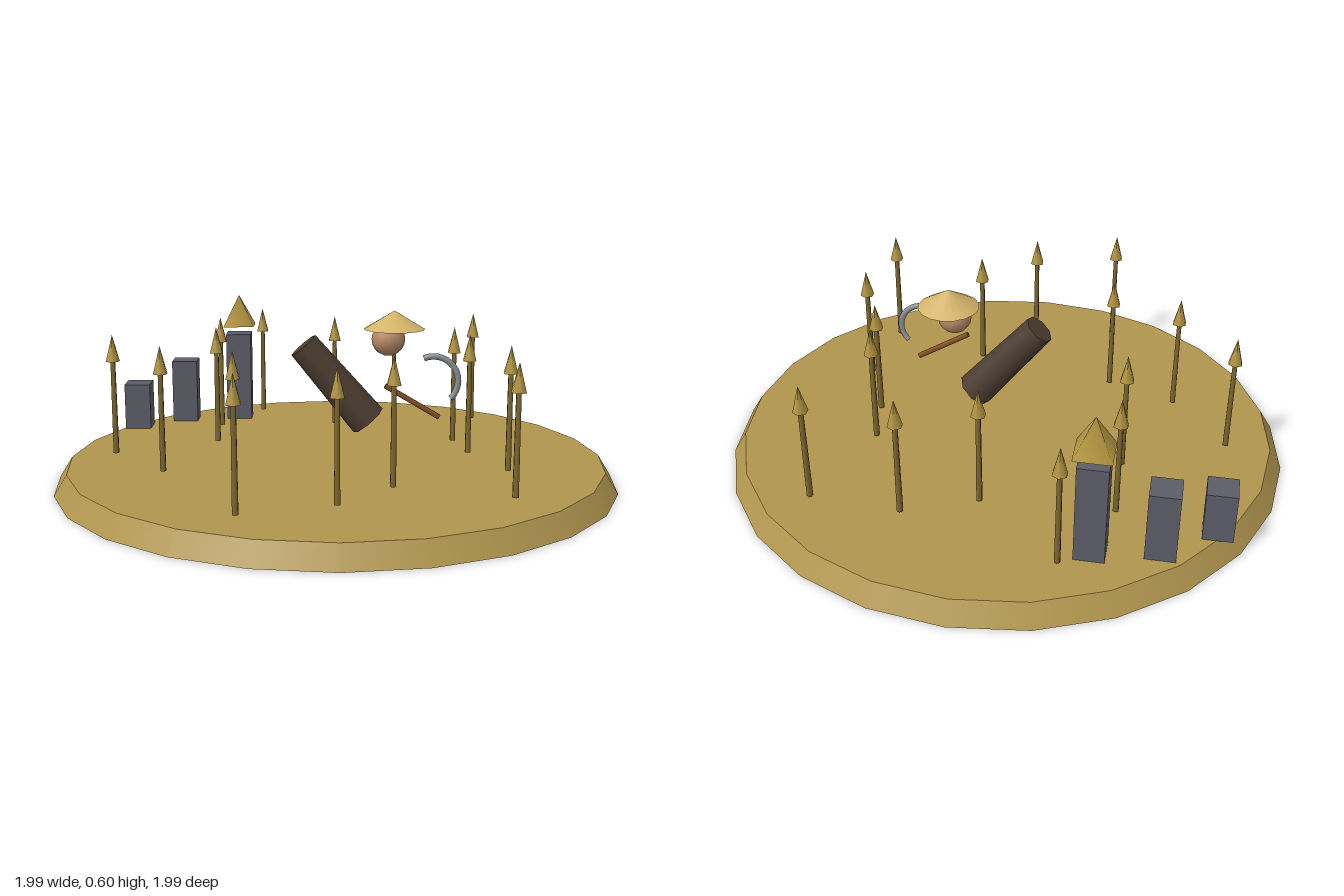
import * as THREE from 'three';

const material = (color) => new THREE.MeshStandardMaterial({ color });
const mats = {
  sand: material(0xb0954e),
  stem: material(0x7d6830),
  tip: material(0xb39540),
  stone: material(0x5c5c68),
  cloth: material(0x4c3d31),
  skin: material(0xb98c66),
  straw: material(0xd4b46a),
  wood: material(0x84501f),
  steel: material(0x8d9299),
};

function add(parent, name, geometry, mat, x = 0, y = 0, z = 0) {
  const mesh = new THREE.Mesh(geometry, mat);
  mesh.name = name;
  mesh.position.set(x, y, z);
  parent.add(mesh);
  return mesh;
}

export function createModel() {
  const model = new THREE.Group();
  model.name = 'fieldScene';
  const turn = THREE.MathUtils.degToRad(36.3);
  const top = 0.072;

  // Round ground plate with a sloping rim
  const ground = add(model, 'ground', new THREE.CylinderGeometry(0.955, 1, top, 24), mats.sand, 0, top / 2, 0);
  ground.rotation.y = turn;

  // Reeds: thin stem with a pointed head
  const reedSpots = [
    [0.12, -0.79], [-0.15, -0.62], [-0.68, -0.42], [-0.285, -0.39],
    [0.25, -0.41], [0.385, -0.285], [0.617, -0.15], [-0.633, -0.1],
    [-0.47, 0.11], [0.783, 0.123], [0.406, 0.248], [-0.647, 0.465],
    [-0.337, 0.543], [-0.078, 0.473], [0.372, 0.513], [0.182, 0.772],
  ];
  const stemGeometry = new THREE.CylinderGeometry(0.009, 0.011, 0.345, 6);
  const headGeometry = new THREE.ConeGeometry(0.026, 0.096, 6);
  for (const [x, z] of reedSpots) {
    const reed = new THREE.Group();
    reed.name = 'reed';
    reed.position.set(x, 0, z);
    reed.rotation.y = turn;
    add(reed, 'reedStem', stemGeometry, mats.stem, 0, 0.256, 0);
    add(reed, 'reedTip', headGeometry, mats.tip, 0, 0.468, 0);
    model.add(reed);
  }

  // Three square towers, the tallest with a pyramid roof
  for (const [x, z, height] of [[-0.921, 0.073, 0.178], [-0.857, -0.134, 0.248], [-0.707, -0.299, 0.352]]) {
    const tower = add(model, 'tower', new THREE.BoxGeometry(0.1, height, 0.1), mats.stone, x, top + height / 2, z);
    tower.rotation.y = turn;
  }
  const roof = add(model, 'towerRoof', new THREE.ConeGeometry(0.087, 0.125, 4), mats.tip, -0.706, 0.519, -0.301);
  roof.rotation.y = turn + Math.PI / 4;

  // Leaning figure with a wide hat
  const figure = new THREE.Group();
  figure.name = 'figure';
  figure.rotation.y = turn;
  model.add(figure);
  const body = add(figure, 'body', new THREE.CylinderGeometry(0.056, 0.068, 0.36, 8), mats.cloth, 0, 0.341, 0);
  body.rotation.z = 0.7;
  add(figure, 'head', new THREE.SphereGeometry(0.06, 12, 10), mats.skin, 0.187, 0.5, 0);
  add(figure, 'hat', new THREE.ConeGeometry(0.109, 0.066, 16), mats.straw, 0.208, 0.569, 0);

  // Sickle: wooden handle and curved blade
  const sickle = new THREE.Group();
  sickle.name = 'sickle';
  sickle.position.z = 0.128;
  figure.add(sickle);
  const handle = add(sickle, 'sickleHandle', new THREE.CylinderGeometry(0.01, 0.01, 0.22, 6), mats.wood, 0.264, 0.3, 0);
  handle.rotation.z = THREE.MathUtils.degToRad(59.4);
  const blade = add(sickle, 'sickleBlade', new THREE.TorusGeometry(0.087, 0.011, 6, 14, 2.75), mats.steel, 0.336, 0.372, 0);
  blade.rotation.z = -0.78;

  return model;
}
